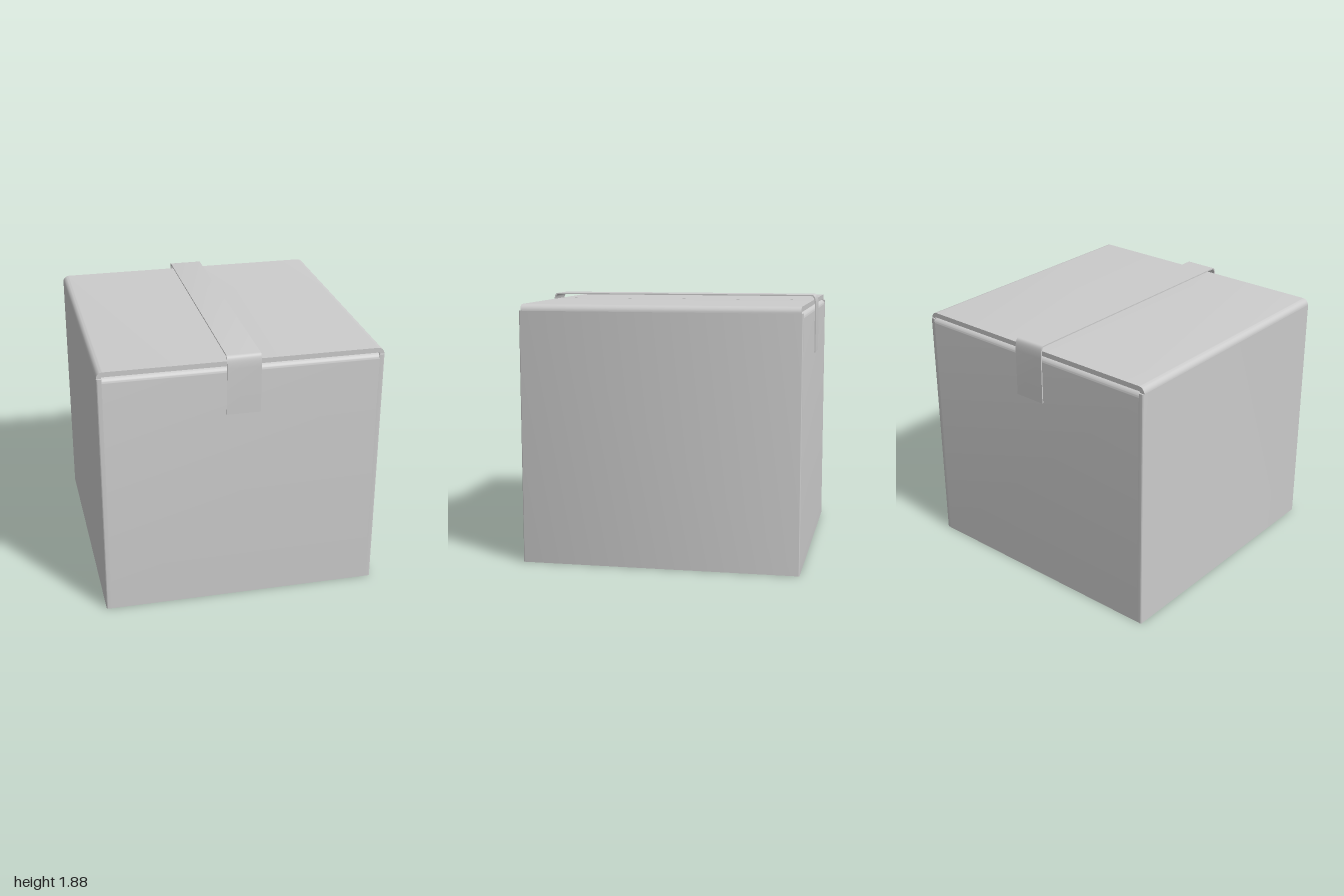
import * as THREE from 'three';
import { toCreasedNormals } from 'three/addons/utils/BufferGeometryUtils.js';

const W = 0.987;      // half width of the box
const D = 0.985;      // half depth of the box
const FOLD = 1.79;    // height where the side walls fold into the lid
const TOP = 1.835;    // top of the lid
const WALL = 0.035;   // cardboard thickness

const material = new THREE.MeshStandardMaterial({ color: 0xcccccc });

function addMesh(group, name, geometry) {
  const mesh = new THREE.Mesh(toCreasedNormals(geometry, 0.6), material);
  mesh.name = name;
  group.add(mesh);
  return mesh;
}

// Extrusion centred on its depth axis
function extrude(shape, depth) {
  const geometry = new THREE.ExtrudeGeometry(shape, { depth, bevelEnabled: false, curveSegments: 8 });
  return geometry.translate(0, 0, -depth / 2);
}

// Upright profile with the two top corners rounded
function archShape(half, bottom, top, r) {
  const s = new THREE.Shape();
  s.moveTo(-half, bottom);
  s.lineTo(half, bottom);
  s.lineTo(half, top - r);
  s.absarc(half - r, top - r, r, 0, Math.PI / 2, false);
  s.lineTo(-half + r, top);
  s.absarc(-half + r, top - r, r, Math.PI / 2, Math.PI, false);
  s.closePath();
  return s;
}

export function createModel() {
  const box = new THREE.Group();
  box.name = 'cardboardBox';

  // Front and back walls with the inner flaps folded over the top
  const core = extrude(archShape(D, 0, FOLD + 0.003, 0.04), 2 * (W - WALL));
  addMesh(box, 'frontAndBackWalls', core.rotateY(-Math.PI / 2));

  for (const side of [-1, 1]) {
    const label = side > 0 ? 'left' : 'right';

    // Side wall, with softly rounded outer vertical edges
    const r = 0.012;
    const plan = new THREE.Shape();
    plan.moveTo(side * (W - WALL), -D);
    plan.lineTo(side * (W - r), -D);
    plan.quadraticCurveTo(side * W, -D, side * W, -D + r);
    plan.lineTo(side * W, D - r);
    plan.quadraticCurveTo(side * W, D, side * (W - r), D);
    plan.lineTo(side * (W - WALL), D);
    plan.closePath();
    const wall = extrude(plan, FOLD).rotateX(-Math.PI / 2).translate(0, FOLD / 2, 0);
    addMesh(box, label + 'Wall', wall);

    // Outer lid flap curving out of the side wall
    const k = TOP - FOLD;
    const c = k * 0.55;
    const flap = new THREE.Shape();
    flap.moveTo(side * W, FOLD);
    flap.bezierCurveTo(side * W, FOLD + c, side * (W - k + c), TOP, side * (W - k), TOP);
    flap.lineTo(side * 0.002, TOP);
    flap.lineTo(side * 0.002, TOP - WALL);
    flap.lineTo(side * (W - WALL), TOP - WALL);
    flap.lineTo(side * (W - WALL), FOLD);
    flap.closePath();
    addMesh(box, label + 'LidFlap', extrude(flap, 1.945));
  }

  // Thin tape strip bridging the lid and hanging down front and back
  const t = 0.009;
  const tapeTop = 1.877;
  const tapeEnd = 1.455;
  const tape = new THREE.Shape();
  tape.moveTo(1, tapeEnd);
  tape.lineTo(1, 1.79);
  tape.bezierCurveTo(0.997, 1.85, 0.99, tapeTop, 0.965, tapeTop);
  tape.lineTo(-0.965, tapeTop);
  tape.bezierCurveTo(-0.99, tapeTop, -0.997, 1.85, -1, 1.79);
  tape.lineTo(-1, tapeEnd);
  tape.lineTo(-1 + t, tapeEnd);
  tape.lineTo(-1 + t, 1.79);
  tape.bezierCurveTo(-0.988, 1.845, -0.982, tapeTop - t, -0.962, tapeTop - t);
  tape.lineTo(0.962, tapeTop - t);
  tape.bezierCurveTo(0.982, tapeTop - t, 0.988, 1.845, 1 - t, 1.79);
  tape.lineTo(1 - t, tapeEnd);
  tape.closePath();
  addMesh(box, 'tapeStrip', extrude(tape, 0.236).rotateY(-Math.PI / 2));

  return box;
}
